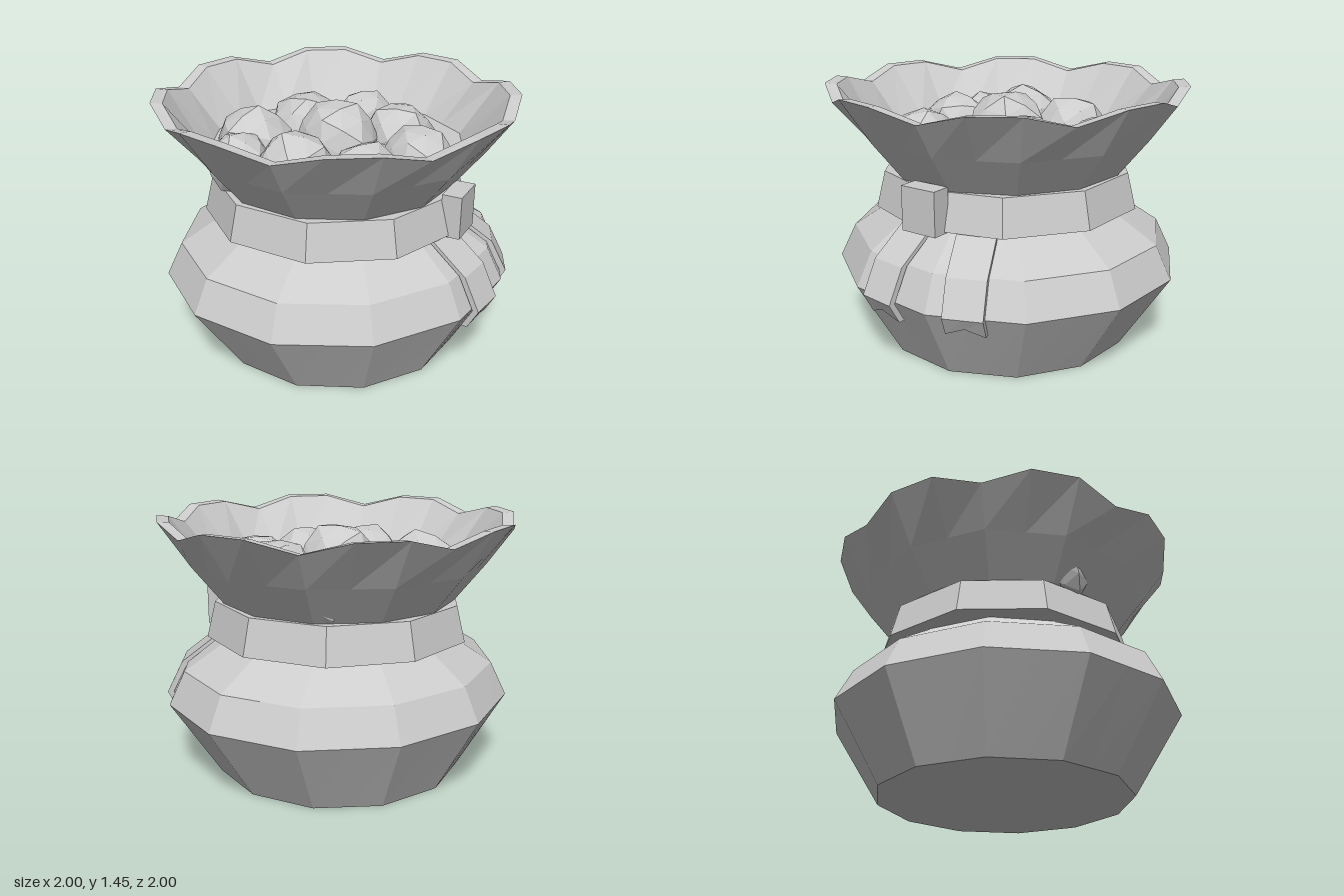
import * as THREE from 'three';

const rad = THREE.MathUtils.degToRad;

// Loft rings of points (bottom to top outside, then down inside) into a flat-shaded skin
function loft(rings) {
  const n = rings[0].length, index = [];
  for (let i = 0; i < rings.length - 1; i++) {
    for (let j = 0; j < n; j++) {
      const a = i * n + j, b = i * n + (j + 1) % n;
      index.push(a, b, b + n, a, b + n, a + n);
    }
  }
  const geo = new THREE.BufferGeometry();
  geo.setAttribute('position', new THREE.Float32BufferAttribute(rings.flat(2), 3));
  geo.setIndex(index);
  const flat = geo.toNonIndexed();
  flat.computeVertexNormals();
  return flat;
}

// Twelve-sided ring with a midpoint on every side
function ring(y, rx, rz = rx) {
  return Array.from({ length: 24 }, (_, j) => {
    const k = j % 2 ? Math.cos(rad(15)) : 1, a = rad(j * 15);
    return [Math.sin(a) * rx * k, y, Math.cos(a) * rz * k];
  });
}

// Scalloped rim ring: eight lobes, dipping every third point
function rimRing(r, drop) {
  return Array.from({ length: 24 }, (_, j) => {
    const dip = j % 3 === 2, a = rad(j * 15), k = dip ? r * 0.965 : r;
    return [Math.sin(a) * k, (dip ? 1.39 : 1.453) - drop, Math.cos(a) * k];
  });
}

// Faceted ball: subdivided icosahedron with its edge midpoints slightly sunk
function ballGeometry() {
  const geo = new THREE.IcosahedronGeometry(1, 1);
  const p = geo.attributes.position, v = new THREE.Vector3();
  for (let i = 0; i < p.count; i++) {
    v.fromBufferAttribute(p, i);
    const corner = Math.abs(v.x * v.y * v.z) < 1e-4
      && Math.max(Math.abs(v.x), Math.abs(v.y), Math.abs(v.z)) < 0.99;
    if (!corner) v.multiplyScalar(0.93);
    p.setXYZ(i, v.x, v.y, v.z);
  }
  geo.computeVertexNormals();
  return geo;
}

// Ribbon tail draped over the belly, with a notched end
function tailGeometry() {
  const rows = [[0.34, 0.905], [0.45, 0.965], [0.63, 0.875], [0.82, 0.63]];
  const geo = new THREE.BoxGeometry(0.21, 3, 0.035, 2, 3, 1);
  const p = geo.attributes.position;
  for (let i = 0; i < p.count; i++) {
    const row = Math.round(p.getY(i) + 1.5), x = p.getX(i);
    const notch = row === 0 && Math.abs(x) < 0.01 ? 0.045 : 0;
    p.setXYZ(i, x, rows[row][0] + notch, rows[row][1] + notch * 0.5 + p.getZ(i));
  }
  geo.computeVertexNormals();
  return geo;
}

export function createModel() {
  const model = new THREE.Group();
  const grey = new THREE.MeshStandardMaterial({ color: 0xcccccc, flatShading: true });
  grey.name = 'plain grey';

  function add(name, geometry, parent = model) {
    const mesh = new THREE.Mesh(geometry, grey);
    mesh.name = name;
    parent.add(mesh);
    return mesh;
  }

  // Sack: base, belly, pinched neck, flared mouth and inner wall
  add('sack', loft([
    ring(0, 0.71), ring(0.445, 1.0, 0.96), ring(0.63, 0.91, 0.87),
    ring(0.8, 0.62), ring(0.98, 0.655), ring(1.2, 0.83),
    rimRing(1, 0), rimRing(0.935, 0.005), ring(1.16, 0.72),
  ]));
  const base = add('sackBase', new THREE.CircleGeometry(0.71, 12));
  base.rotation.x = Math.PI / 2;

  // Surface inside the mouth that the balls rest in
  const fill = add('filling', new THREE.CircleGeometry(0.725, 12));
  fill.rotation.x = -Math.PI / 2;
  fill.position.y = 1.16;

  // Balls: x, y, z, radius
  const balls = new THREE.Group();
  balls.name = 'balls';
  model.add(balls);
  const ball = ballGeometry();
  [
    [0, 1.18, 0, 0.235], [-0.32, 1.14, -0.34, 0.225], [0.1, 1.13, -0.38, 0.225],
    [0.47, 1.12, -0.27, 0.19], [-0.53, 1.12, -0.2, 0.18], [-0.38, 1.13, 0.1, 0.22],
    [0.36, 1.13, 0.13, 0.22], [-0.19, 1.12, 0.43, 0.21], [0.2, 1.12, 0.43, 0.21],
  ].forEach(([x, y, z, r], i) => {
    const mesh = add('ball', ball, balls);
    mesh.position.set(x, y, z);
    mesh.scale.setScalar(r);
    mesh.rotation.set(0.35 + i * 0.1, i * 1.3, 0.2);
  });

  // Ten-sided tie band around the neck
  const band = add('tieBand', new THREE.CylinderGeometry(0.7, 0.75, 0.2, 10, 1, false, rad(18)));
  band.position.y = 0.89;

  // Knot and two ribbon tails
  const knot = add('knot', new THREE.BoxGeometry(0.215, 0.24, 0.11));
  knot.position.set(0.26, 0.9, 0.68);
  knot.rotation.y = rad(21);
  const tail = tailGeometry();
  for (const angle of [13, 43]) add('ribbonTail', tail).rotation.y = rad(angle);

  return model;
}
